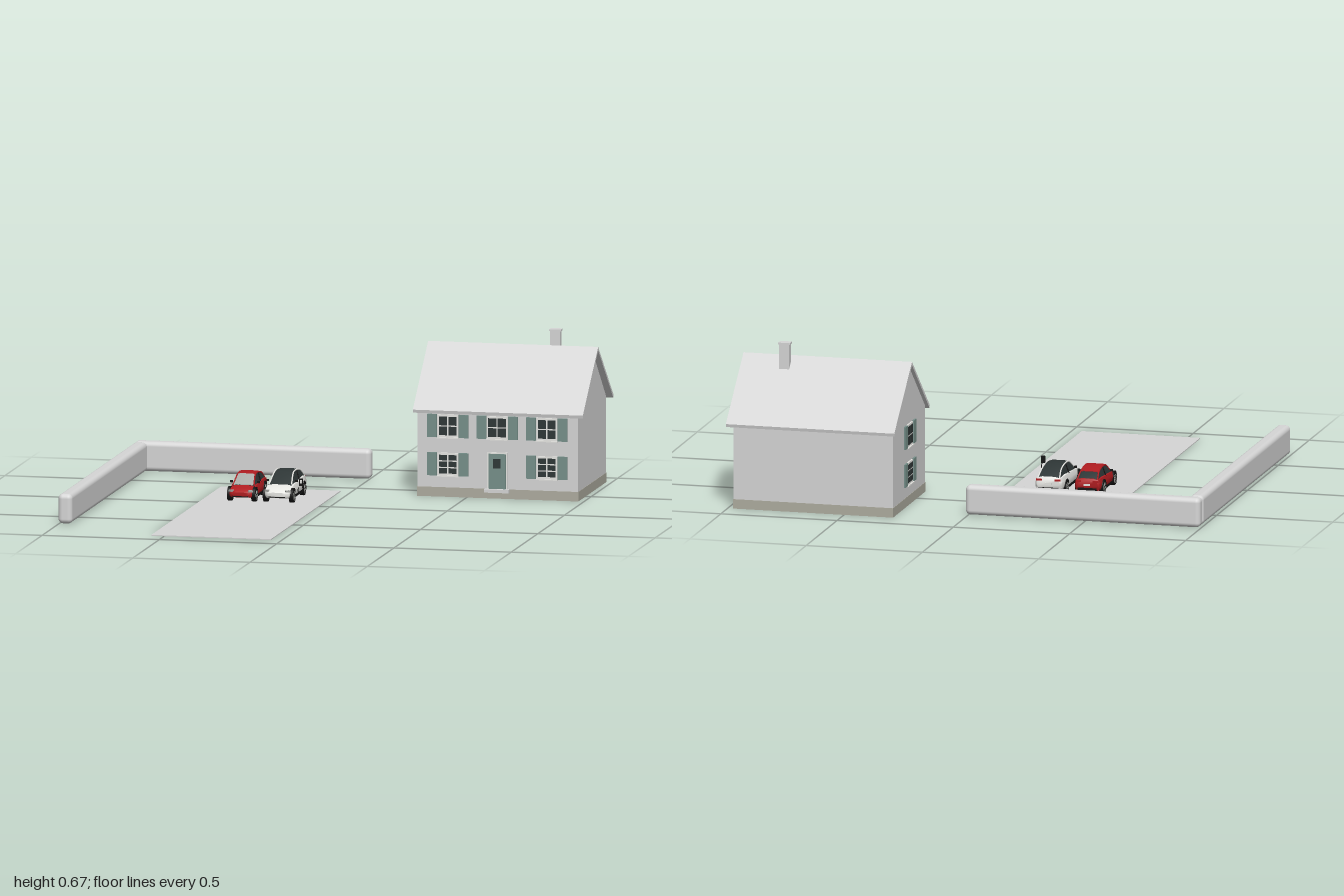
import * as THREE from 'three';
import { toCreasedNormals } from 'three/addons/utils/BufferGeometryUtils.js';
import { RoundedBoxGeometry } from 'three/addons/geometries/RoundedBoxGeometry.js';

const mat = (name, color) => Object.assign(new THREE.MeshStandardMaterial({ color }), { name });
const M = {
  grey: mat('light grey', 0xd6d6d6),
  plinth: mat('plinth stone', 0xaeac9f),
  shutter: mat('shutter green', 0x76908a),
  white: mat('white', 0xf0f0ec),
  glass: mat('dark glass', 0x2e3636),
  black: mat('black trim', 0x141414),
  red: mat('red paint', 0xb01c20),
  silver: mat('silver', 0xa9aaa6),
};

function add(parent, name, geo, material, x = 0, y = 0, z = 0) {
  const m = new THREE.Mesh(geo, material);
  m.name = name;
  m.position.set(x, y, z);
  parent.add(m);
  return m;
}
const box = (p, name, m, w, h, d, x, y, z) => add(p, name, new THREE.BoxGeometry(w, h, d), m, x, y, z);

function group(parent, name) {
  const g = new THREE.Group();
  g.name = name;
  parent.add(g);
  return g;
}

// Side profile given as [z, y], extruded along x from x0 to x1
function extrudeX(profile, x0, x1) {
  const shape = new THREE.Shape(profile.map(([z, y]) => new THREE.Vector2(-z, y)));
  const geo = new THREE.ExtrudeGeometry(shape, { depth: x1 - x0, bevelEnabled: false });
  return geo.rotateY(Math.PI / 2).translate(x0, 0, 0);
}

// Skin over rings of [x, y, z], counter-clockwise seen from +z, ordered by rising z
function loft(rings) {
  const n = rings[0].length, idx = [];
  for (let i = 0; i < rings.length - 1; i++) {
    for (let j = 0; j < n; j++) {
      const a = i * n + j, b = i * n + (j + 1) % n;
      idx.push(a, b, b + n, a, b + n, a + n);
    }
  }
  const e = (rings.length - 1) * n;
  for (let j = 1; j < n - 1; j++) idx.push(0, j + 1, j, e, e + j, e + j + 1);
  const geo = new THREE.BufferGeometry();
  geo.setAttribute('position', new THREE.Float32BufferAttribute(rings.flat(2), 3));
  geo.setIndex(idx);
  return toCreasedNormals(geo, 0.7);
}
// Right half of a section, mirrored to a full ring
const ring = (half, z) => [...half, ...half.map(([x, y]) => [-x, y]).reverse()].map(([x, y]) => [x, y, z]);

// Window with shutters, centred on the origin and facing +z
function makeWindow(parent, rows) {
  const g = group(parent, 'window');
  box(g, 'windowFrame', M.white, 0.088, 0.095, 0.006, 0, 0, 0.002);
  const h = 0.083 / rows;
  for (const s of [-1, 1]) {
    for (let r = 0; r < rows; r++) {
      box(g, 'windowPane', M.glass, 0.035, h - 0.005, 0.003, s * 0.02, (r - (rows - 1) / 2) * h, 0.005);
    }
    box(g, 'shutter', M.shutter, 0.041, 0.097, 0.008, s * 0.067, 0, 0.004);
  }
  box(g, 'windowSill', M.white, 0.092, 0.005, 0.012, 0, -0.05, 0.005);
  return g;
}

function makeHouse(parent) {
  const g = group(parent, 'house');
  box(g, 'plinth', M.plinth, 0.688, 0.04, 0.524, 0.6325, 0.02, -0.626);
  add(g, 'walls', extrudeX([[-0.365, 0.04], [-0.365, 0.366], [-0.6325, 0.594], [-0.887, 0.366], [-0.887, 0.04]].reverse(), 0.29, 0.975), M.grey);
  add(g, 'roof', extrudeX([[-0.345, 0.365], [-0.6325, 0.61], [-0.92, 0.365], [-0.917, 0.352], [-0.6325, 0.595], [-0.348, 0.352]], 0.275, 1), M.grey);
  // Chimney
  box(g, 'chimney', M.grey, 0.042, 0.13, 0.03, 0.81, 0.6, -0.675);
  box(g, 'chimneyCap', M.grey, 0.05, 0.008, 0.036, 0.81, 0.669, -0.675);
  // Front windows, then the stacked pair on the gable
  for (const x of [0.421, 0.631, 0.843]) makeWindow(g, 2).position.set(x, 0.299, -0.364);
  for (const x of [0.421, 0.843]) makeWindow(g, 3).position.set(x, 0.138, -0.364);
  for (const [y, rows] of [[0.299, 2], [0.138, 3]]) {
    const w = makeWindow(g, rows);
    w.position.set(0.289, y, -0.626);
    w.rotation.y = -Math.PI / 2;
  }
  // Door
  box(g, 'doorFrame', M.white, 0.086, 0.155, 0.005, 0.631, 0.1175, -0.363);
  box(g, 'door', M.shutter, 0.074, 0.147, 0.008, 0.631, 0.115, -0.361);
  box(g, 'doorPane', M.glass, 0.032, 0.04, 0.003, 0.631, 0.148, -0.3565);
  box(g, 'doorStep', M.grey, 0.105, 0.014, 0.025, 0.631, 0.034, -0.354);
}

// Car pointing to +z; t runs from 0 at the rear to 1 at the nose
function makeCar(parent, name, { x, z0, length, half, h, paint, roof, shield }) {
  const g = group(parent, name);
  g.position.set(x, 0.003, 0);
  const Z = t => z0 + t * length;

  // Lower body stations: t, half width, underside, top
  const body = [[0, 0.78, 0.32, 0.56], [0.03, 0.9, 0.2, 0.66], [0.2, 0.98, 0.16, 0.7], [0.5, 0.98, 0.14, 0.66],
    [0.74, 0.98, 0.16, 0.62], [0.9, 0.93, 0.18, 0.53], [0.97, 0.8, 0.18, 0.45], [1, 0.58, 0.24, 0.38]];
  add(g, 'body', loft(body.map(([t, w, b, top]) => {
    const hw = w * half, d = top - b;
    return ring([[hw * 0.88, b * h], [hw, (b + d * 0.25) * h], [hw, (b + d * 0.6) * h],
      [hw * 0.9, (b + d * 0.9) * h], [hw * 0.5, top * h]], Z(t));
  })), paint);

  // Cabin stations: t, top, half width at the top
  const cabin = [[0.03, 0.64, 0.74], [0.16, 0.87, 0.66], [0.32, 0.97, 0.64], [0.45, 0.99, 0.63], [0.58, 0.95, 0.64], [0.79, 0.6, 0.76]];
  const section = (t, top, w, low) => ring([[half * Math.max(w, 0.86), low * h], [half * w, (top - 0.03) * h], [half * w * 0.7, top * h]], Z(t));
  add(g, 'cabinGlass', loft(cabin.map(([t, top, w]) => section(t, top, w, 0.52))), M.glass);

  // Thin panel lying on the cabin between two stations
  const panel = (label, a, b, m, k) => add(g, label, loft(cabin.slice(a, b + 1).map(([t, top, w]) => ring(
    [[half * w * k, (top - 0.045) * h], [half * w * k, (top - 0.02) * h + 0.002], [half * w * 0.7 * k, top * h + 0.002]], Z(t)))), m);
  if (roof) panel('roofPanel', 1, 4, roof, 1.03);
  if (shield) panel('windscreen', 4, 5, shield, 0.92);

  for (const s of [-1, 1]) {
    // Roof rail running into the pillars, and the middle pillar
    const rail = new THREE.CatmullRomCurve3(cabin.map(([t, top, w]) => new THREE.Vector3(s * half * w, (top - 0.025) * h, Z(t))));
    add(g, 'roofRail', new THREE.TubeGeometry(rail, 16, 0.0032, 6), paint);
    const pillar = new THREE.LineCurve3(new THREE.Vector3(s * half * 0.87, 0.6 * h, Z(0.42)), new THREE.Vector3(s * half * 0.65, 0.95 * h, Z(0.4)));
    add(g, 'pillar', new THREE.TubeGeometry(pillar, 1, 0.0025, 6), M.black);
    // Sill, mirror and lamps
    box(g, 'sill', M.black, 0.004, 0.01, length * 0.4, s * half * 0.95, 0.19 * h, Z(0.54));
    box(g, 'mirror', M.black, 0.011, 0.008, 0.007, s * half * 0.97, 0.68 * h, Z(0.68));
    const head = box(g, 'headlight', M.silver, 0.018, 0.007, 0.016, s * half * 0.68, 0.43 * h, Z(0.965));
    head.rotation.y = s * 0.5;
    box(g, 'tailLight', M.red, 0.024, 0.007, 0.008, s * half * 0.62, 0.56 * h, Z(0.012));
    // Wheels
    for (const t of [0.227, 0.85]) {
      const wheel = group(g, 'wheel');
      wheel.position.set(s * half * 0.86, 0.027, Z(t));
      const disc = (label, r, w, m, dx) => add(wheel, label, new THREE.CylinderGeometry(r, r, w, 24).rotateZ(Math.PI / 2), m, s * dx, 0, 0);
      disc('wheelArch', 0.031, 0.012, M.black, half * 0.14 - 0.0055).position.y = 0.003;
      disc('tyre', 0.027, 0.018, M.black, half * 0.14 - 0.0075);
      disc('rim', 0.019, 0.002, M.silver, half * 0.14 + 0.002);
      for (let i = 0; i < 5; i++) {
        const spoke = box(wheel, 'spokeGap', M.black, 0.001, 0.011, 0.005, s * (half * 0.14 + 0.003), 0, 0);
        const a = i * Math.PI * 0.4;
        spoke.position.y = 0.011 * Math.cos(a);
        spoke.position.z = 0.011 * Math.sin(a);
        spoke.rotation.x = a;
      }
    }
  }
  // Bumpers
  box(g, 'frontGrille', M.black, half * 1.1, 0.011, 0.012, 0, 0.25 * h, Z(0.978));
  box(g, 'rearBumper', M.black, half * 1.4, 0.014, 0.012, 0, 0.26 * h, Z(0.025));
  box(g, 'rearPlate', M.white, 0.028, 0.008, 0.004, 0, 0.43 * h, Z(0) - 0.001);
}

export function createModel() {
  const root = new THREE.Group();
  root.name = 'houseWithDriveway';

  makeHouse(root);
  box(root, 'driveway', M.grey, 0.51, 0.004, 1.31, -0.3, 0.002, 0.255);

  // Hedges
  add(root, 'backHedge', new RoundedBoxGeometry(1.01, 0.125, 0.06, 4, 0.02), M.grey, -0.495, 0.066, -0.745);
  add(root, 'sideHedge', new RoundedBoxGeometry(0.06, 0.125, 1.43, 4, 0.02), M.grey, -0.97, 0.066, -0.005);

  makeCar(root, 'redCar', { x: -0.385, z0: -0.286, length: 0.273, half: 0.059, h: 0.108, paint: M.red, roof: M.red, shield: M.silver });
  makeCar(root, 'whiteCar', { x: -0.23, z0: -0.33, length: 0.317, half: 0.063, h: 0.12, paint: M.white });

  // Charging point with its hanging cable
  const charger = group(root, 'chargingPoint');
  charger.position.set(-0.135, 0, -0.043);
  box(charger, 'chargerBox', M.black, 0.016, 0.03, 0.006, 0.002, 0.092, 0);
  box(charger, 'chargerFace', M.white, 0.008, 0.014, 0.002, 0.002, 0.094, 0.0035);
  const cable = new THREE.CatmullRomCurve3([[0.006, 0.08], [0.01, 0.06], [0, 0.044], [-0.011, 0.055], [-0.008, 0.07]].map(([x, y]) => new THREE.Vector3(x, y, 0)));
  add(charger, 'chargerCable', new THREE.TubeGeometry(cable, 20, 0.002, 6), M.black);

  return root;
}
